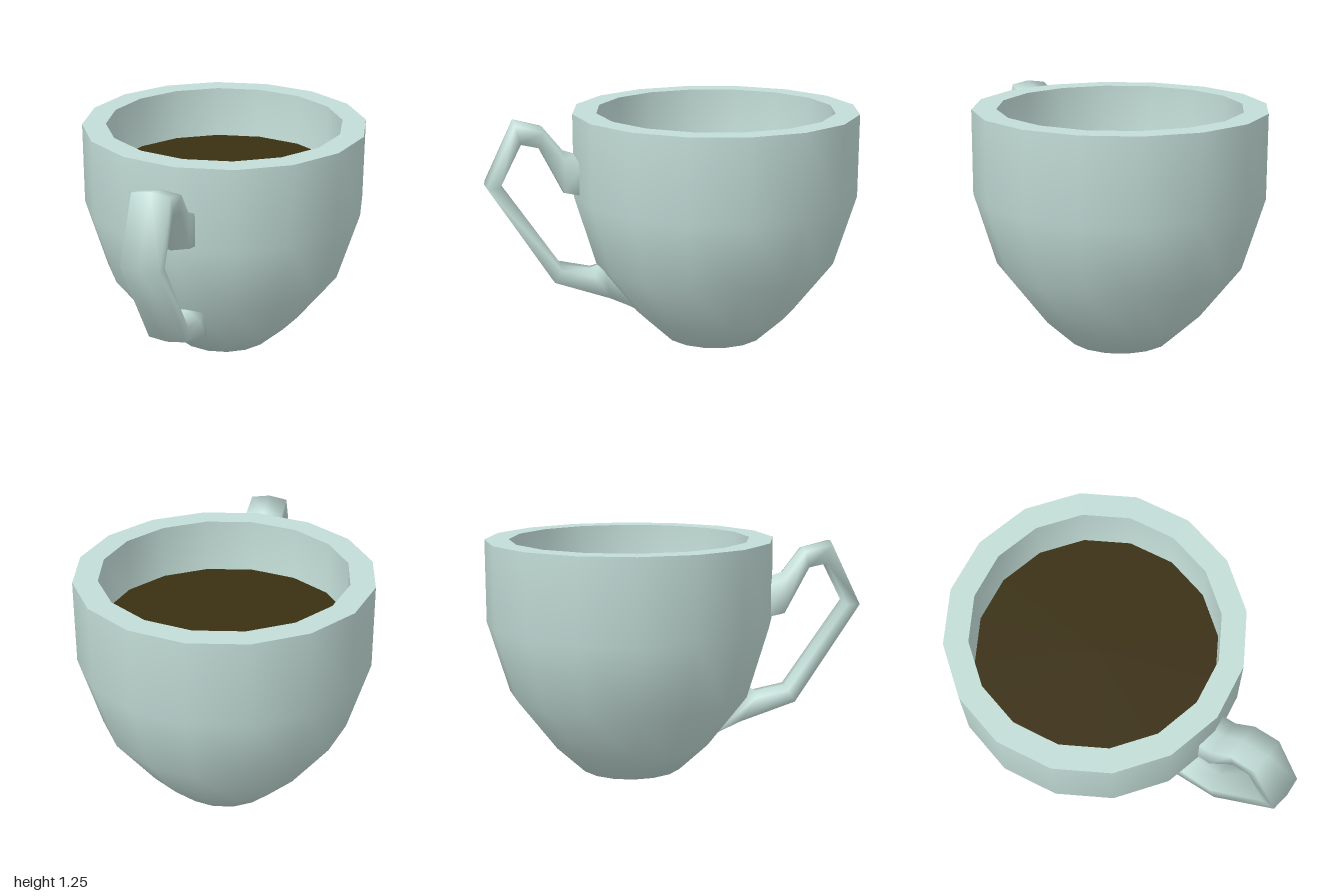
import * as THREE from 'three';

const SIDES = 16;
const CUP_Z = -0.235;

// Revolved surface; points running upward face outward
function revolve(name, points, material) {
  const profile = points.map(([r, y]) => new THREE.Vector2(r, y));
  const mesh = new THREE.Mesh(new THREE.LatheGeometry(profile, SIDES), material);
  mesh.name = name;
  mesh.position.z = CUP_Z;
  return mesh;
}

// Bar lofted through slightly bulged six-sided sections:
// [outer z, outer y, inner z, inner y, outer half width, inner half width]
function loftHandle(sections) {
  const positions = [];
  const index = [];
  for (const [oz, oy, iz, iy, ow, iw] of sections) {
    const point = (x, t) => positions.push(x, oy + (iy - oy) * t, oz + (iz - oz) * t);
    point(ow, 0.12);
    point(0, 0);
    point(-ow, 0.12);
    point(-iw, 0.9);
    point(0, 1);
    point(iw, 0.9);
  }
  for (let s = 0; s < sections.length - 1; s++) {
    for (let k = 0; k < 6; k++) {
      const a = s * 6 + k;
      const b = s * 6 + ((k + 1) % 6);
      index.push(a, b, a + 6, b, b + 6, a + 6);
    }
  }
  const geometry = new THREE.BufferGeometry();
  geometry.setAttribute('position', new THREE.Float32BufferAttribute(positions, 3));
  geometry.setIndex(index);
  geometry.computeVertexNormals();
  return geometry;
}

export function createModel() {
  const ceramic = new THREE.MeshStandardMaterial({ color: 0xc3ddd7 });
  ceramic.name = 'pale green ceramic';
  const coffee = new THREE.MeshStandardMaterial({ color: 0x3a2f12 });
  coffee.name = 'dark coffee';

  const cup = new THREE.Group();
  cup.name = 'cup';

  // Bowl: outside, flat rim and inside, kept apart for sharp rim edges
  cup.add(revolve('outerWall', [
    [0, 0], [0.275, 0], [0.435, 0.15], [0.65, 0.43], [0.765, 0.81], [0.765, 1.25],
  ], ceramic));
  cup.add(revolve('rim', [[0.765, 1.25], [0.638, 1.25]], ceramic));
  cup.add(revolve('innerWall', [
    [0.638, 1.25], [0.638, 0.85], [0.53, 0.48], [0.33, 0.2], [0, 0.12],
  ], ceramic));

  // Drink surface
  const drink = new THREE.Mesh(new THREE.CircleGeometry(0.637, SIDES), coffee);
  drink.name = 'drink';
  drink.rotation.x = -Math.PI / 2;
  drink.position.set(0, 0.965, CUP_Z);
  cup.add(drink);

  // Handle, from the upper joint round to the lower joint
  const handle = new THREE.Mesh(loftHandle([
    [0.49, 1.03, 0.49, 0.81, 0.1, 0.1],
    [0.585, 1.06, 0.585, 0.83, 0.1, 0.1],
    [0.69, 1.19, 0.715, 1.085, 0.1, 0.1],
    [0.84, 1.23, 0.805, 1.105, 0.1, 0.1],
    [1.0, 0.895, 0.915, 0.89, 0.1, 0.1],
    [0.655, 0.355, 0.605, 0.435, 0.1, 0.1],
    [0.34, 0.24, 0.45, 0.405, 0.1, 0.1],
    [0.19, 0.15, 0.4, 0.43, 0.06, 0.1],
  ]), ceramic);
  handle.name = 'handle';
  cup.add(handle);

  return cup;
}
